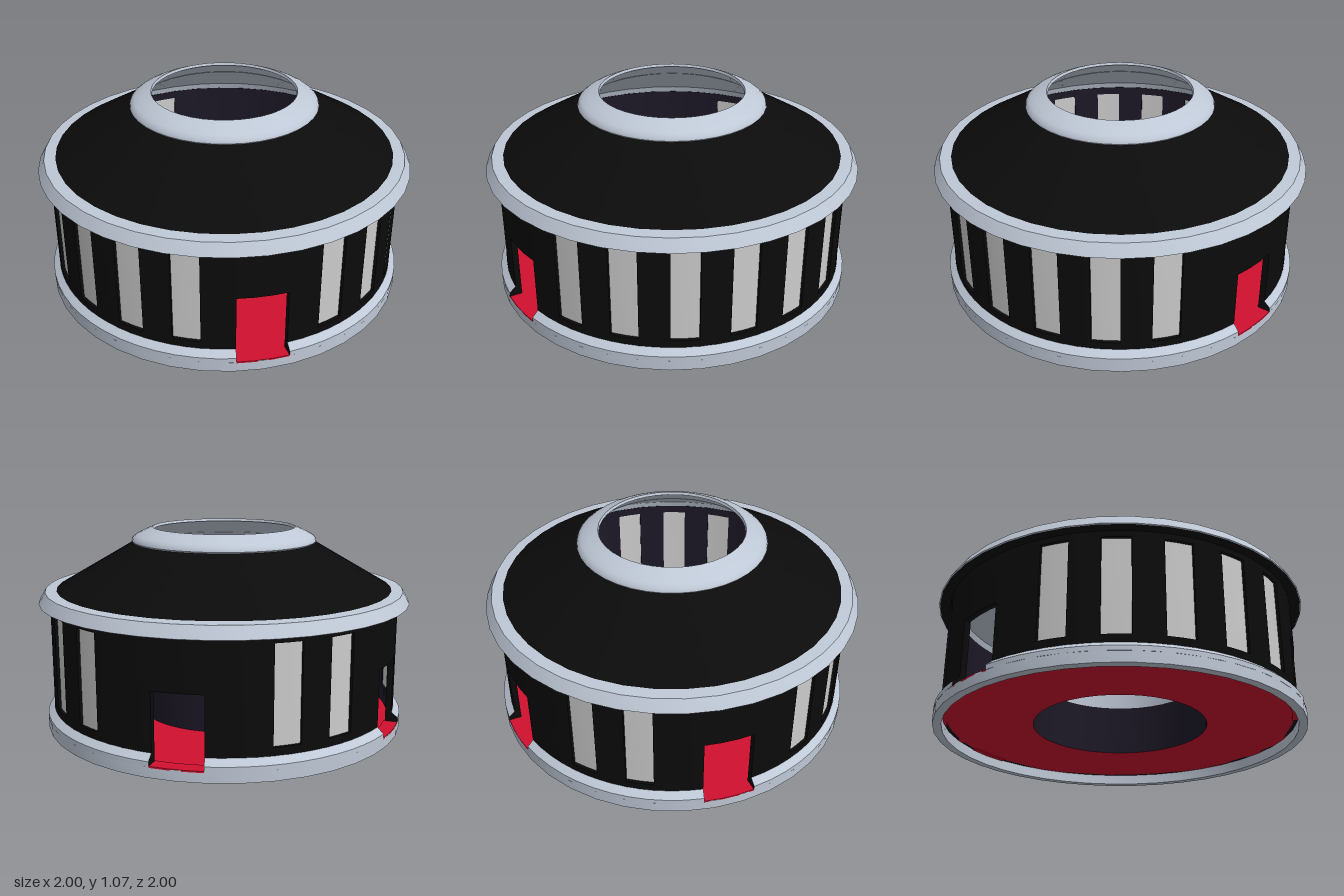
import * as THREE from 'three';
import { toCreasedNormals } from 'three/addons/utils/BufferGeometryUtils.js';

const mat = (color) => new THREE.MeshStandardMaterial({ color, side: THREE.DoubleSide });
const metal = mat(0xbfc8d6), black = mat(0x0b0b0b), dark = mat(0x1c1826);
const red = mat(0xd0102f), pane = mat(0xcccccc);
const rad = THREE.MathUtils.degToRad;
const pts = (list) => list.map(([r, y]) => new THREE.Vector2(r, y));
const rect = (r0, r1, y0, y1) => [[r0, y0], [r1, y0], [r1, y1], [r0, y1], [r0, y0]];

// Profile [radius, height] turned all the way round
function turned(name, profile, material, crease = 0.5) {
  const mesh = new THREE.Mesh(toCreasedNormals(new THREE.LatheGeometry(pts(profile), 40), crease), material);
  mesh.name = name;
  return mesh;
}

// Closed profile turned between two angles in degrees (0 = front, 90 = +x), with end caps
function sector(name, profile, a0, a1, material, capMaterial = material) {
  const group = new THREE.Group();
  group.name = name;
  const steps = Math.max(2, Math.ceil((a1 - a0) / 6));
  const lathe = new THREE.LatheGeometry(pts(profile), steps, rad(a0), rad(a1 - a0));
  const body = new THREE.Mesh(toCreasedNormals(lathe, 0.5), material);
  body.name = name + 'Body';
  group.add(body);
  for (const a of [a0, a1]) {
    const cap = new THREE.Mesh(new THREE.ShapeGeometry(new THREE.Shape(pts(profile.slice(0, -1)))), capMaterial);
    cap.rotation.y = rad(a) - Math.PI / 2;
    cap.name = name + 'End';
    group.add(cap);
  }
  return group;
}

export function createModel() {
  const model = new THREE.Group();
  model.name = 'roundPavilion';
  const floorY = 0.055, wallTop = 0.69;

  // Openings: three doorways and the windows between them
  const doors = [45, 207, 283.5].map((a) => ({ a, half: 7.8, y0: floorY, y1: 0.41, door: true }));
  const windows = [];
  const addWindows = (first, count) => {
    for (let i = 0; i < count; i++) windows.push({ a: first + 18 * i, half: 4.3, y0: 0.15, y1: 0.645 });
  };
  addWindows(4.5, 2);
  addWindows(67.5, 7);
  addWindows(238.5, 2);
  addWindows(310.5, 3);
  const openings = [...doors, ...windows].sort((p, q) => p.a - q.a);

  // Wall: black outer skin and dark lining, built around the openings
  const wall = (name, a0, a1, y0, y1) => {
    model.add(sector(name, rect(0.92, 0.94, y0, y1), a0, a1, black));
    model.add(sector(name + 'Lining', rect(0.908, 0.92, y0, y1), a0, a1, dark, black));
  };
  openings.forEach((o, i) => {
    const next = openings[(i + 1) % openings.length];
    const nextA = next.a + (i === openings.length - 1 ? 360 : 0);
    wall('pier', o.a + o.half, nextA - next.half, floorY, wallTop);
    wall('lintel', o.a - o.half, o.a + o.half, o.y1, wallTop);
    if (o.door) {
      model.add(sector('threshold', rect(0.9, 0.974, floorY - 0.005, floorY + 0.003), o.a - o.half, o.a + o.half, red));
    } else {
      wall('sill', o.a - o.half, o.a + o.half, floorY, o.y0);
      model.add(sector('windowPane', rect(0.915, 0.924, o.y0, o.y1), o.a - o.half, o.a + o.half, pane));
    }
  });

  // Base: full ring below the floor, bevelled kerb broken at the doors
  model.add(turned('baseRing', [[0.93, 0], [0.975, 0], [0.975, floorY], [0.93, floorY], [0.93, 0]], metal));
  const kerb = [[0.93, floorY], [0.975, floorY], [0.975, 0.08], [0.94, 0.11], [0.93, 0.11], [0.93, floorY]];
  doors.forEach((d, i) => {
    const n = doors[(i + 1) % doors.length];
    model.add(sector('kerb', kerb, d.a + d.half, n.a - n.half + (i === doors.length - 1 ? 360 : 0), metal, black));
  });

  // Ring floor around a hollow central stage
  model.add(turned('floor', [[0.93, floorY], [0.46, floorY]], red));
  model.add(turned('stageWall', [[0.46, floorY], [0.46, 0.33]], dark));
  model.add(turned('stageTop', [[0.46, 0.33], [0.46, 0.46], [0, 0.46]], metal));

  // Eaves
  model.add(turned('eavesRim', [[0.995, 0.677], [1, 0.68], [0.965, 0.74], [0.89, 0.745]], metal));
  model.add(turned('eavesSoffit', [[0.92, 0.677], [0.995, 0.677]], black));

  // Roof, its grey ceiling and the open crown
  model.add(turned('roof', [[0.908, 0.742], [0.49, 0.985]], black));
  model.add(turned('ceiling', [[0.915, 0.68], [0.9, 0.725], [0.48, 0.97], [0.385, 1.055]], metal));
  model.add(turned('crownRing', [[0.47, 0.975], [0.488, 0.98], [0.499, 0.992], [0.495, 1.008],
    [0.475, 1.024], [0.44, 1.042], [0.385, 1.065], [0.38, 1.05]], metal, 0.9));
  return model;
}
